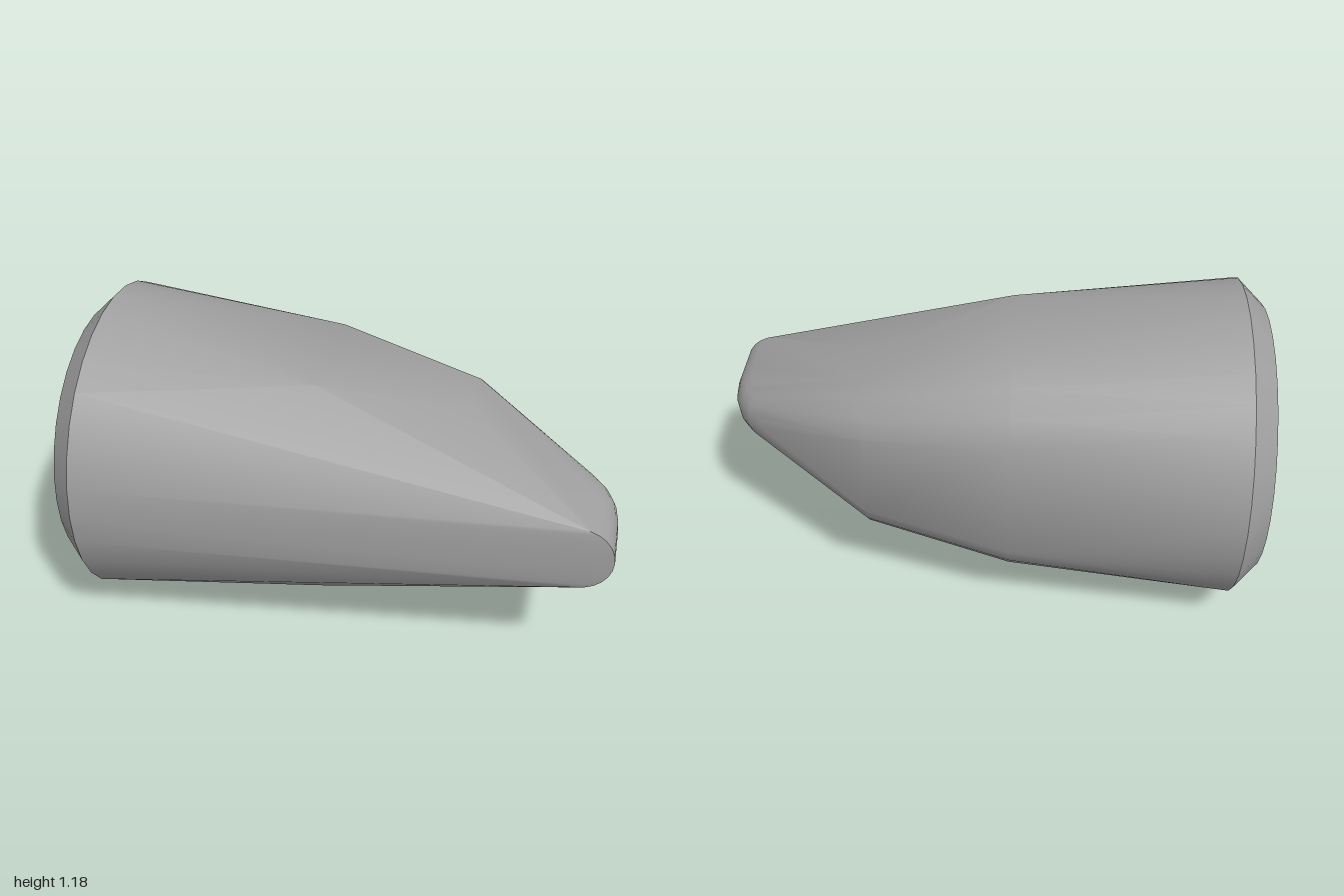
import * as THREE from 'three';
import { toCreasedNormals } from 'three/addons/utils/BufferGeometryUtils.js';
import { ConvexGeometry } from 'three/addons/geometries/ConvexGeometry.js';

const CY = 0.59; // height of the long axis
const rad = THREE.MathUtils.degToRad;

export function createModel() {
  const grey = new THREE.MeshStandardMaterial({ color: 0xa0a0a0 });
  grey.name = 'plain grey';
  const points = [];
  const add = (x, y, z) => points.push(new THREE.Vector3(x, CY + y, z));

  // Chamfered round base
  for (const [x, r] of [[-1, 0.5], [-0.91, 0.59]]) {
    for (let i = 0; i < 32; i++) {
      const a = (i / 32) * Math.PI * 2;
      add(x, r * Math.cos(a), r * Math.sin(a));
    }
  }

  // Two flattened body sections, rounded at the back corners
  for (const [x, r, front] of [[-0.09, 0.505, 0.23], [0.44, 0.36, 0.05]]) {
    for (const side of [-1, 1]) {
      for (const deg of [27, 39, 51, 63]) {
        add(x, side * r * Math.cos(rad(deg)), -r * Math.sin(rad(deg)));
      }
      add(x, side * r * Math.cos(rad(27)), front);
    }
  }

  // Rounded nose rim, swept from the flat front face round to the back
  const rim = (cx, cz, nx, nz) => {
    for (let deg = -75; deg <= 75; deg += 15) {
      const out = 0.125 * (Math.cos(rad(deg)) - 1);
      add(cx + nx * out, 0.125 * Math.sin(rad(deg)), cz + nz * out);
    }
  };
  rim(1, 0.42, 1, 0);
  for (let deg = 0; deg <= 62; deg += 15.5) {
    const c = Math.cos(rad(deg)), s = Math.sin(rad(deg));
    rim(0.74 + 0.26 * c, 0.22 - 0.29 * s, c, -s);
  }

  // One taut skin over all the sections
  const body = new THREE.Mesh(toCreasedNormals(new ConvexGeometry(points), 0.6), grey);
  body.name = 'taperedBody';
  const group = new THREE.Group();
  group.name = 'taperedCap';
  group.add(body);
  return group;
}
